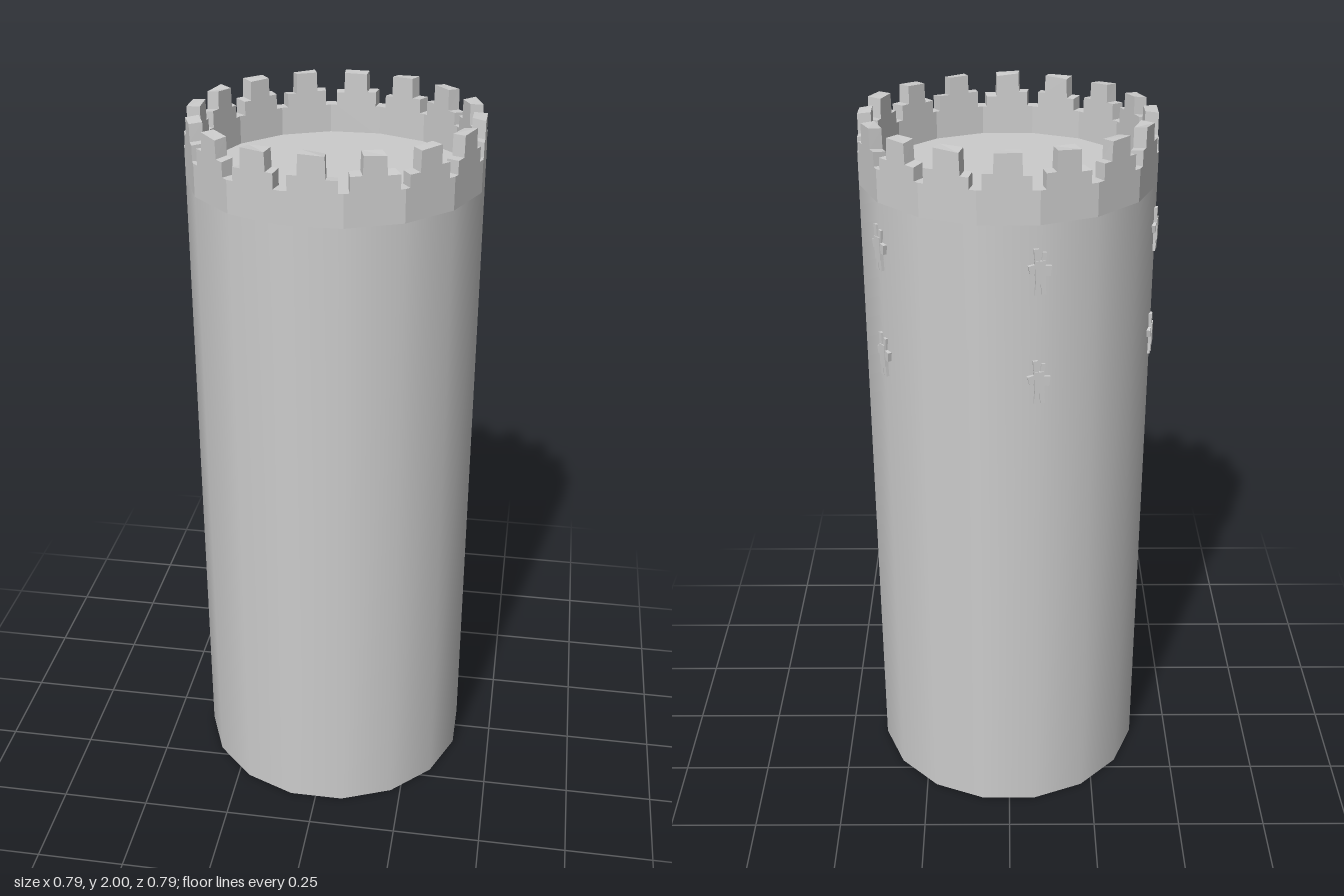
import * as THREE from 'three';

const SIDES = 16, STEP = (Math.PI * 2) / SIDES;
const OUTER = 0.388, INNER = 0.353;            // distance from axis to the wall faces
const CORNER = 1 / Math.cos(STEP / 2);         // face distance -> corner distance
const HALF = OUTER * Math.tan(STEP / 2);       // half width of one wall face
const LEDGE = 1.82;

// Repeatable small variation between -1 and 1
const vary = (n) => { const s = Math.sin(n * 12.9898) * 43758.5453; return (s - Math.floor(s)) * 2 - 1; };

// One parapet panel with a stepped merlon, mitred to meet its neighbours
function parapetPanel(i) {
  const j = (k, a) => vary(i * 9 + k) * a;
  const shape = new THREE.Shape([
    [-HALF, LEDGE], [HALF, LEDGE], [HALF, 1.907],
    [0.061 + j(1, 0.004), 1.907], [0.061 + j(1, 0.004), 1.948 + j(2, 0.006)],
    [0.034 + j(3, 0.004), 1.948 + j(2, 0.006)], [0.032 + j(3, 0.004), 2],
    [-0.032 + j(4, 0.004), 2], [-0.034 + j(4, 0.004), 1.948 + j(5, 0.006)],
    [-0.061 + j(6, 0.004), 1.948 + j(5, 0.006)], [-0.061 + j(6, 0.004), 1.907],
    [-HALF, 1.907],
  ].map(([x, y]) => new THREE.Vector2(x, y)));
  const geo = new THREE.ExtrudeGeometry(shape, { depth: OUTER - INNER, bevelEnabled: false });
  const p = geo.attributes.position;
  for (let v = 0; v < p.count; v++) {
    const x = p.getX(v), y = p.getY(v), z = p.getZ(v) + INNER;
    // worn tops: each upper corner sinks a little
    const key = i * 7 + (x > 0 ? 1 : 0) + (z > 0.37 ? 2 : 0);
    const worn = y > 1.93 ? (vary(key) + 1) * 0.004 : 0;
    p.setXYZ(v, (x * z) / OUTER, y - worn, z);
  }
  geo.computeVertexNormals();
  return geo;
}

// Rough stones framing an arrow slit: [x, y, width, height, depth, tilt]
const SLIT_STONES = [
  [0, 0, 0.026, 0.06, 0.03, 0.05],
  [-0.008, 0.036, 0.013, 0.05, 0.026, 0.08],
  [0.009, 0.03, 0.011, 0.042, 0.024, -0.1],
  [-0.019, 0.008, 0.018, 0.022, 0.024, 0.25],
  [0.019, 0.003, 0.018, 0.026, 0.026, -0.15],
  [-0.006, -0.038, 0.012, 0.044, 0.024, -0.06],
  [0.008, -0.034, 0.012, 0.05, 0.026, 0.07],
];

function arrowSlit(material) {
  const slit = new THREE.Group();
  slit.name = 'arrowSlit';
  for (const [x, y, w, h, d, tilt] of SLIT_STONES) {
    const stone = new THREE.Mesh(new THREE.BoxGeometry(w, h, d), material);
    stone.name = 'slitStone';
    stone.position.set(x, y, 0);
    stone.rotation.z = tilt;
    slit.add(stone);
  }
  return slit;
}

export function createModel() {
  const tower = new THREE.Group();
  tower.name = 'tower';
  const stone = new THREE.MeshStandardMaterial({ color: 0xcccccc, side: THREE.DoubleSide });
  stone.name = 'greyStone';

  // Hollow shaft, open underneath
  const shaft = new THREE.Mesh(
    new THREE.CylinderGeometry(OUTER * CORNER, OUTER * CORNER, LEDGE, SIDES, 1, true, STEP / 2), stone);
  shaft.name = 'shaft';
  shaft.position.y = LEDGE / 2;
  tower.add(shaft);

  // Roof deck inside the parapet
  const deck = new THREE.Mesh(new THREE.CircleGeometry(INNER * CORNER, SIDES, STEP / 2), stone);
  deck.name = 'roofDeck';
  deck.rotation.x = -Math.PI / 2;
  deck.position.y = 1.83;
  tower.add(deck);

  // Ring of parapet panels
  const parapet = new THREE.Group();
  parapet.name = 'parapet';
  for (let i = 0; i < SIDES; i++) {
    const panel = new THREE.Mesh(parapetPanel(i), stone);
    panel.name = 'parapetPanel';
    panel.rotation.y = i * STEP;
    parapet.add(panel);
  }
  tower.add(parapet);

  // Arrow slits on three rear corners, two levels each
  for (const corner of [5.5, 8.5, 11.5]) {
    for (const y of [1.7, 1.4]) {
      const slit = arrowSlit(stone);
      const a = corner * STEP;
      slit.position.set(Math.sin(a) * 0.388, y, Math.cos(a) * 0.388);
      slit.rotation.y = a;
      tower.add(slit);
    }
  }

  tower.position.set(0.002, 0, 0.002);
  const model = new THREE.Group();
  model.name = 'castleTower';
  model.add(tower);
  return model;
}
